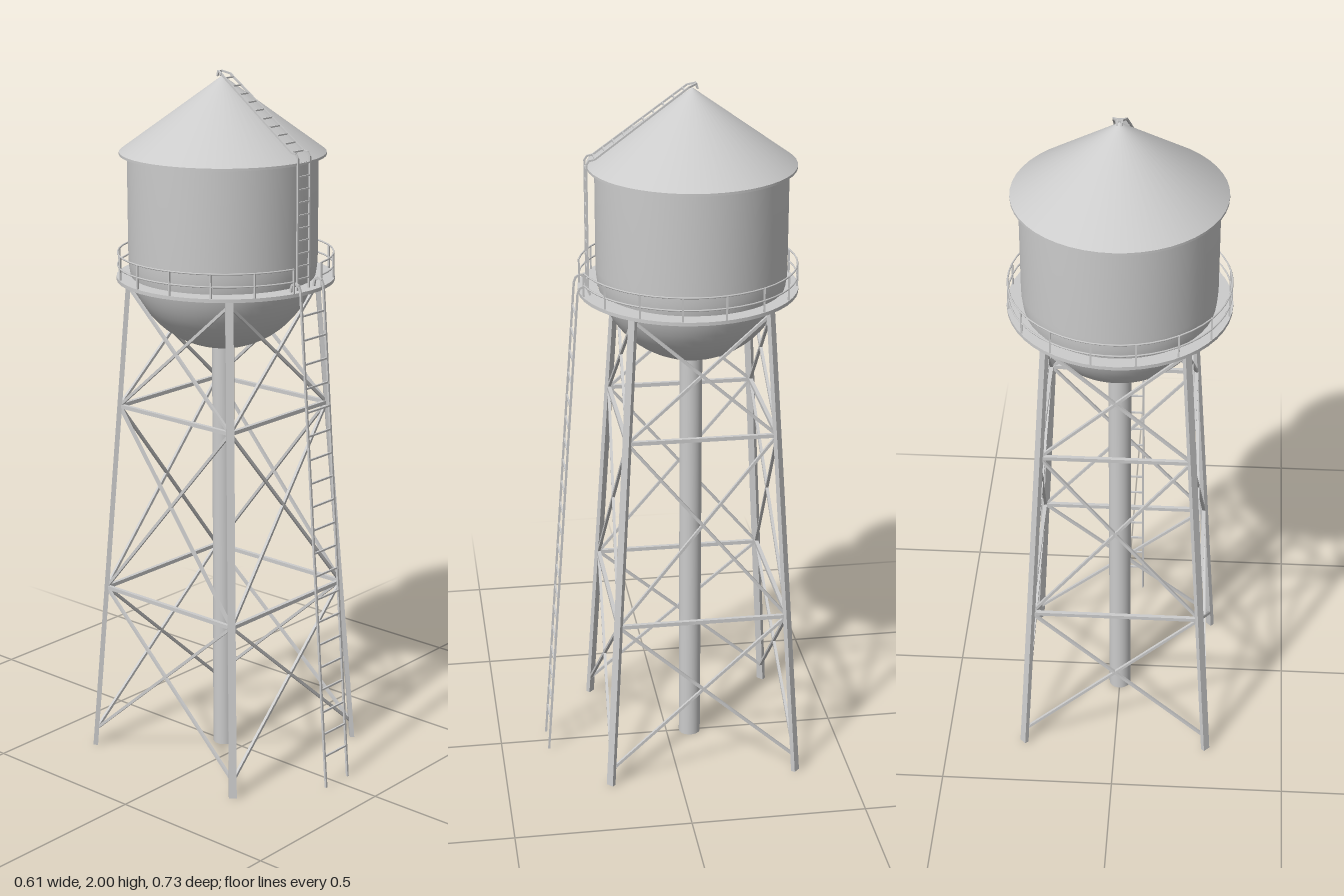
import * as THREE from 'three';
import { toCreasedNormals } from 'three/addons/utils/BufferGeometryUtils.js';

const material = new THREE.MeshStandardMaterial({ color: 0xcccccc });
const V = (x, y, z) => new THREE.Vector3(x, y, z);

function group(parent, name, z = 0) {
  const g = new THREE.Group();
  g.name = name;
  g.position.z = z;
  parent.add(g);
  return g;
}

function add(parent, name, geometry) {
  const mesh = new THREE.Mesh(geometry, material);
  mesh.name = name;
  parent.add(mesh);
  return mesh;
}

// Rectangular bar from a to b; w is its horizontal width, d its other thickness
function bar(parent, name, a, b, w, d = w) {
  const mesh = new THREE.Mesh(new THREE.BoxGeometry(w, d, a.distanceTo(b)), material);
  mesh.name = name;
  mesh.position.copy(a).lerp(b, 0.5);
  mesh.lookAt(b);
  parent.add(mesh);
}

// Chain of bars through a list of points
function railPath(parent, name, points, w) {
  for (let i = 1; i < points.length; i++) bar(parent, name, points[i - 1], points[i], w);
}

// Revolved profile, listed from the bottom up along the outside
function lathe(parent, name, profile, segments = 48) {
  const geometry = new THREE.LatheGeometry(profile.map(([r, y]) => new THREE.Vector2(r, y)), segments);
  return add(parent, name, toCreasedNormals(geometry, 0.6));
}

export function createModel() {
  const model = new THREE.Group();
  model.name = 'waterTower';
  const tower = group(model, 'tower', -0.07);

  // Tank: round bowl running into a straight wall
  const R = 0.265, bowlY = 1.487;
  const wall = [];
  for (let i = 0; i <= 16; i++) {
    const t = (i / 16) * Math.PI / 2;
    wall.push([R * Math.sin(t), bowlY - R * Math.cos(t)]);
  }
  wall.push([R, 1.775]);
  lathe(tower, 'tank', wall);

  // Conical roof with a thin overhanging rim
  const eave = 0.287, eaveY = 1.777, apexY = 1.985;
  lathe(tower, 'roof', [[0.25, 1.77], [eave, 1.77], [eave, eaveY], [0, apexY]]);

  // Central riser pipe
  const riser = add(tower, 'riserPipe', new THREE.CylinderGeometry(0.032, 0.032, 1.24, 24));
  riser.position.y = 0.62;

  // Four inclined legs, flat side facing outwards
  const legTop = 1.425;
  const spread = (y) => 0.272 - 0.085 * y / legTop;
  const frame = group(tower, 'supportFrame');
  for (const sx of [-1, 1]) {
    for (const sz of [-1, 1]) {
      const at = (y) => V(sx * spread(y), y, sz * spread(y));
      bar(frame, 'leg', at(0.001), at(legTop), 0.022, 0.013);
    }
  }

  // Girts and crossed braces, repeated on all four sides
  const panels = [[0.05, 0.5], [0.5, 1.05], [1.05, 1.4]];
  for (let side = 0; side < 4; side++) {
    const face = group(frame, 'braceSide');
    face.rotation.y = side * Math.PI / 2;
    const at = (s, y) => V(s * spread(y), y, spread(y));
    for (const y of [0.5, 1.05]) bar(face, 'girt', at(-1, y), at(1, y), 0.011);
    for (const [low, high] of panels) {
      for (const s of [-1, 1]) bar(face, 'crossBrace', at(s, low), at(-s, high), 0.008);
    }
  }

  // Ring walkway with its railing, open at the front for the ladder
  const walkway = group(model, 'walkway', -0.06);
  lathe(walkway, 'walkwayDeck',
    [[0.25, 1.42], [0.306, 1.42], [0.306, 1.43], [0.25, 1.43], [0.25, 1.42]]);
  const railR = 0.302, step = Math.PI / 8;
  for (const y of [1.462, 1.497]) {
    const rail = new THREE.TorusGeometry(railR, 0.0025, 6, 45, 15 * step);
    rail.rotateZ(Math.PI / 2 + step / 2).rotateX(Math.PI / 2);
    add(walkway, 'guardRail', rail).position.y = y;
  }
  for (let i = 0; i < 16; i++) {
    const a = (i + 0.5) * step;
    const x = railR * Math.sin(a), z = railR * Math.cos(a);
    bar(walkway, 'railPost', V(x, 1.425, z), V(x, 1.498, z), 0.005);
  }

  // Lower ladder: leans on the walkway, rails hooking over its edge
  const lower = group(model, 'lowerLadder');
  const footZ = 0.361, headZ = 0.252, headY = 1.435;
  for (const s of [-1, 1]) {
    const x = s * 0.049;
    railPath(lower, 'ladderRail', [
      V(x, 0.001, footZ), V(x, headY, headZ), V(x, 1.45, 0.246), V(x, 1.456, 0.234),
      V(x, 1.45, 0.222), V(x, 1.43, 0.218),
    ], 0.006);
  }
  for (let y = 0.095; y < 1.42; y += 0.067) {
    const z = footZ + (headZ - footZ) * y / headY;
    bar(lower, 'rung', V(-0.049, y, z), V(0.049, y, z), 0.005);
  }

  // Upper ladder: up the tank wall, over the eave and along the roof
  const upper = group(tower, 'upperLadder');
  const wallZ = 0.29;
  const roofY = (z) => apexY - (apexY - eaveY) * Math.abs(z) / eave + 0.013;
  for (const s of [-1, 1]) {
    railPath(upper, 'ladderRail', [
      V(s * 0.025, 1.43, wallZ), V(s * 0.025, 1.79, wallZ), V(s * 0.025, 1.801, 0.283),
      V(s * 0.025, roofY(0.268), 0.268), V(s * 0.017, roofY(0.012), 0.012),
      V(s * 0.006, 1.996, -0.01), V(s * 0.006, 1.982, -0.014),
    ], 0.005);
  }
  bar(upper, 'topRung', V(-0.008, 1.995, -0.01), V(0.008, 1.995, -0.01), 0.005);
  for (let y = 1.46; y < 1.79; y += 0.035) {
    bar(upper, 'rung', V(-0.025, y, wallZ), V(0.025, y, wallZ), 0.004);
  }
  for (let z = 0.024; z < 0.27; z += 0.027) {
    const x = 0.017 + 0.008 * z / 0.268;
    bar(upper, 'rung', V(-x, roofY(z), z), V(x, roofY(z), z), 0.004);
  }

  return model;
}
